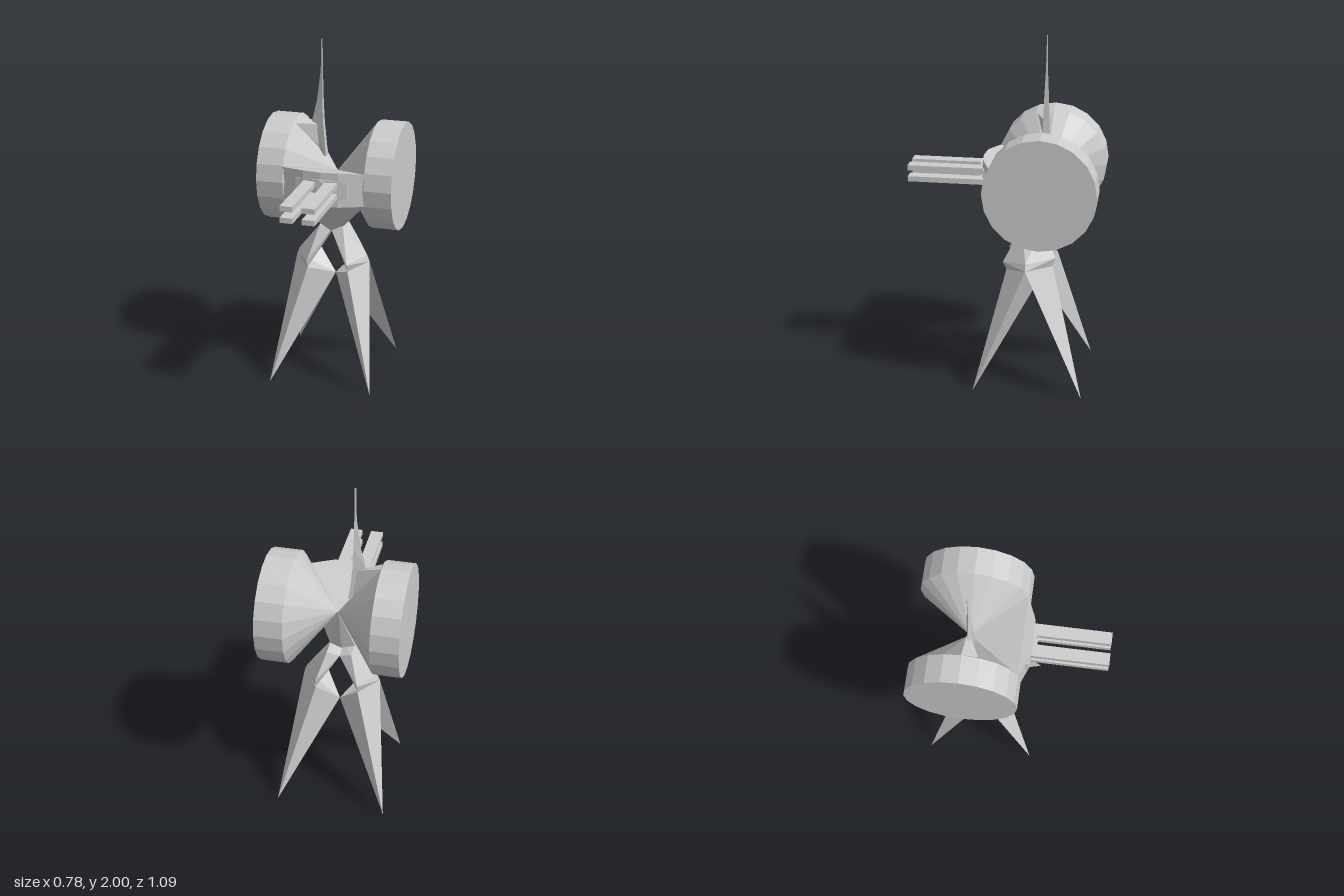
import * as THREE from 'three';
import { ConvexGeometry } from 'three/addons/geometries/ConvexGeometry.js';

const material = new THREE.MeshStandardMaterial({ color: 0xcccccc, flatShading: true });

export function createModel() {
  const model = new THREE.Group();

  const add = (name, geometry) => {
    const mesh = new THREE.Mesh(geometry, material);
    mesh.name = name;
    model.add(mesh);
    return mesh;
  };
  // Faceted solid around a few corner points
  const hull = (name, points) =>
    add(name, new ConvexGeometry(points.map((p) => new THREE.Vector3(...p))));
  // Both x-mirrored copies of a point list
  const both = (points) => points.flatMap(([x, y, z]) => [[x, y, z], [-x, y, z]]);

  const cy = 1.228, cz = -0.235, r = 0.312, sides = 20;

  // Central body: brow, slanted chin and a rear point between the cones
  hull('body', [
    [0, cy, cz], [0, 1.33, 0.125], [0, 1.13, 0.125], [0, 0.9, -0.1], [0, 0.92, -0.15],
    ...both([[0.1, 1.33, 0.115], [0.1, 1.13, 0.115], [0.235, 1.32, 0.062],
      [0.235, 1.13, 0.062], [0.07, 0.93, -0.13]]),
  ]);

  // Gun mount with hexagonal sockets on the front plate
  hull('gunMount', [
    [0, 1.29, 0.135], [0, 1.17, 0.135], [0, 1.29, 0.02], [0, 1.17, 0.02],
    ...both([[0.15, 1.28, 0.105], [0.15, 1.18, 0.105], [0.15, 1.28, 0.02], [0.15, 1.18, 0.02]]),
  ]);
  const socket = (name, x, y) => {
    const mesh = add(name, new THREE.CylinderGeometry(0.03, 0.034, 0.06, 6));
    mesh.rotation.x = Math.PI / 2;
    mesh.position.set(x, y, 0.11);
  };

  for (const y of [1.195, 1.26]) {
    socket('centreSocket', 0, y);
    for (const s of [-1, 1]) {
      const barrel = add('gunBarrel', new THREE.BoxGeometry(0.07, 0.03, 0.445));
      barrel.position.set(s * 0.061, y, 0.3225);
    }
  }

  for (const s of [-1, 1]) {
    // Side drum with its cone narrowing to the middle
    const drum = add('sideDrum', new THREE.CylinderGeometry(r, r, 0.157, sides));
    drum.rotation.z = -s * Math.PI / 2;
    drum.position.set(s * 0.3135, cy, cz);
    const cone = add('drumCone', new THREE.ConeGeometry(r, 0.235, sides, 1, true));
    cone.rotation.z = s * Math.PI / 2;
    cone.position.set(s * 0.1175, cy, cz);

    // Thigh flaring into a knee band shared by the front and rear shins
    hull('thigh', [
      [0, 0.91, -0.1], [0, 0.9, -0.2], [s * 0.07, 0.93, -0.1], [s * 0.07, 0.93, -0.22],
      [s * 0.12, 0.735, 0], [s * 0.12, 0.69, -0.02],
      [s * 0.12, 0.775, -0.3], [s * 0.12, 0.725, -0.28],
      [s * 0.205, 0.76, -0.14], [s * 0.22, 0.72, -0.14],
    ]);
    const outerKnee = [s * 0.22, 0.72, -0.14], crotch = [0, 0.6, -0.2];
    hull('frontShin', [outerKnee, crotch, [s * 0.12, 0.69, -0.02], [s * 0.305, 0, 0.15]]);
    hull('rearShin', [outerKnee, crotch, [s * 0.12, 0.725, -0.285], [s * 0.315, 0, -0.477]]);
  }

  // Antenna: base wedge on the right cone, then a tapering spike
  hull('antennaBase', [
    [-0.235, 1.54, -0.24], [-0.235, 1.515, -0.145], [-0.15, 1.517, -0.23],
    [-0.15, 1.51, -0.2], [-0.08, 1.5, -0.225], [-0.055, 1.32, -0.23], [-0.2, 1.4, -0.22],
  ]);
  const rings = [ // y, left x, right x, half depth
    [1.32, -0.12, -0.06, 0.022], [1.515, -0.15, -0.078, 0.018], [1.64, -0.12, -0.083, 0.014],
    [1.82, -0.097, -0.085, 0.005], [2, -0.094, -0.086, 0.002],
  ];
  for (let i = 0; i < rings.length - 1; i++) {
    hull('antennaSpike', [rings[i], rings[i + 1]].flatMap(([y, x0, x1, d]) =>
      [[x0, y, -0.215], [x1, y, -0.215 - d], [x1, y, -0.215 + d]]));
  }

  return model;
}
